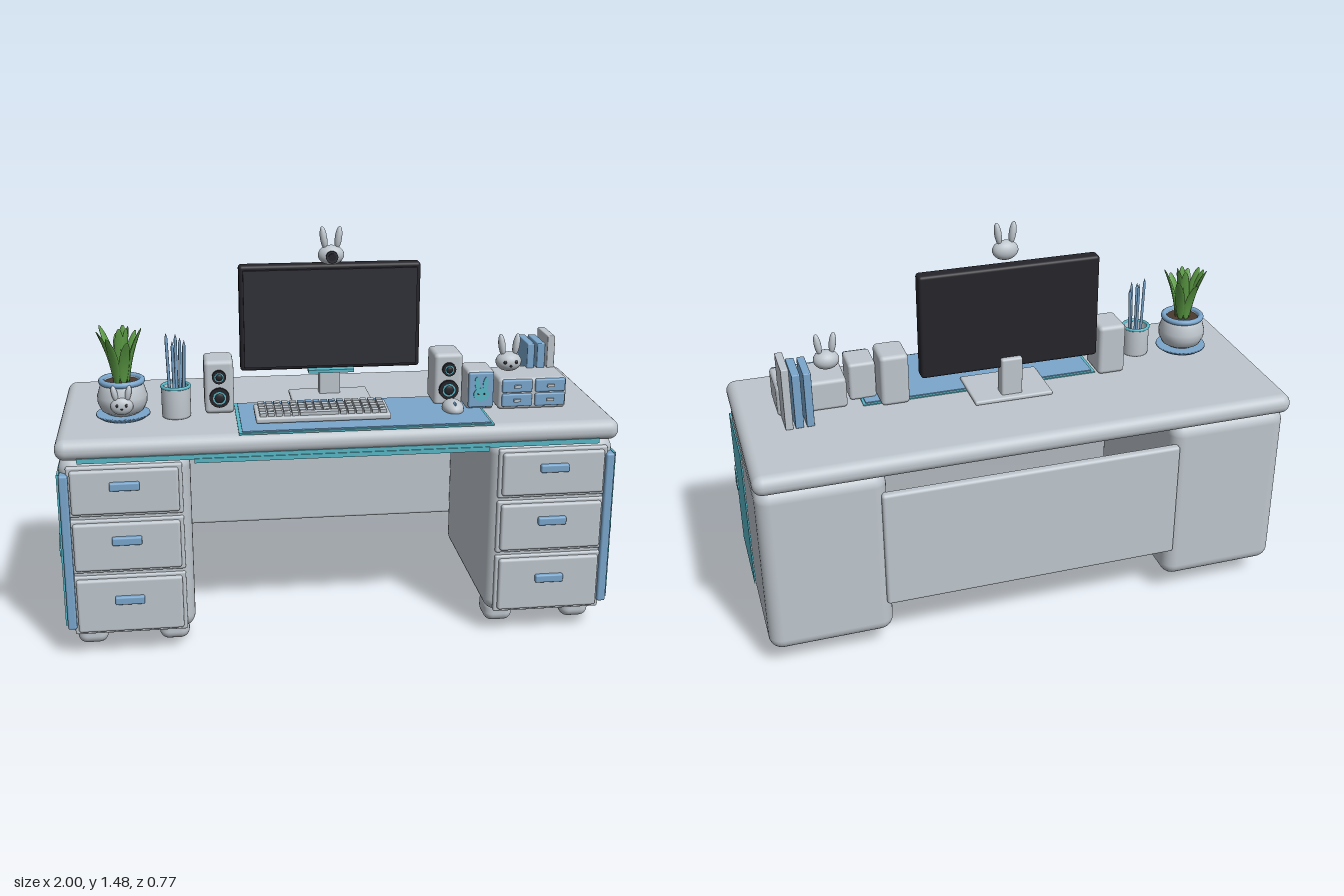
import * as THREE from 'three';
import { RoundedBoxGeometry } from 'three/addons/geometries/RoundedBoxGeometry.js';

const mat = (name, color, side = THREE.FrontSide) => {
  const m = new THREE.MeshStandardMaterial({ color, side });
  m.name = name;
  return m;
};

export function createModel() {
  const root = new THREE.Group();
  root.name = 'desk';
  const grey = mat('pale grey', 0xbec6cd), blue = mat('blue', 0x7aa6cc), teal = mat('teal', 0x5ab8c8);
  const dark = mat('charcoal', 0x24242a), screenMat = mat('screen', 0x2e2e37);
  const green = mat('leaf green', 0x5c9c45), soil = mat('soil', 0x4a3a30);

  const add = (name, geo, m, x, y, z, parent = root) => {
    const mesh = new THREE.Mesh(geo, m);
    mesh.name = name;
    mesh.position.set(x, y, z);
    parent.add(mesh);
    return mesh;
  };
  // Box given by its limits on each axis, with rounded edges when r > 0
  const box = (name, m, x0, x1, y0, y1, z0, z1, r = 0, parent = root) => {
    const s = [x1 - x0, y1 - y0, z1 - z0];
    const geo = r ? new RoundedBoxGeometry(...s, 4, r) : new THREE.BoxGeometry(...s);
    return add(name, geo, m, (x0 + x1) / 2, (y0 + y1) / 2, (z0 + z1) / 2, parent);
  };
  const ball = (name, m, x, y, z, a, b, c, parent = root) => {
    const mesh = add(name, new THREE.SphereGeometry(1, 24, 16), m, x, y, z, parent);
    mesh.scale.set(a, b, c);
    return mesh;
  };
  // Disc facing +z
  const disc = (name, m, x, y, z, r, depth, parent = root) => {
    const geo = new THREE.CylinderGeometry(r, r, depth, 28).rotateX(Math.PI / 2);
    return add(name, geo, m, x, y, z, parent);
  };
  const group = (name, x, y, z) => {
    const g = new THREE.Group();
    g.name = name;
    g.position.set(x, y, z);
    root.add(g);
    return g;
  };
  const lathe = (pts) => new THREE.LatheGeometry(pts.map(p => new THREE.Vector2(...p)), 36);

  // Rabbit head with upright ears; the origin is the head centre
  const rabbit = (name, x, y, z, depth, eyes) => {
    const g = group(name, x, y, z);
    ball('head', grey, 0, 0, 0, 0.048, 0.036, depth, g);
    for (const s of [-1, 1]) {
      ball('ear', grey, s * 0.027, 0.062, 0, 0.013, 0.042, 0.015, g).rotation.z = -s * 0.14;
      if (eyes) ball('eye', dark, s * 0.021, 0.004, depth * 0.88, 0.006, 0.007, 0.005, g);
    }
    if (eyes) ball('nose', dark, 0, -0.009, depth * 0.97, 0.005, 0.004, 0.004, g);
    return g;
  };
  // Flat rabbit badge facing +z
  const badge = (name, m, x, y, z, s) => {
    const g = group(name, x, y, z);
    disc('badgeHead', m, 0, 0, 0, 0.03, 0.008, g).scale.y = 0.85;
    for (const k of [-1, 1]) {
      const ear = disc('badgeEar', m, k * 0.016, 0.042, 0, 0.01, 0.008, g);
      ear.scale.y = 2.7;
      ear.rotation.z = -k * 0.12;
      disc('badgeEye', dark, k * 0.012, 0.002, 0.002, 0.0035, 0.008, g);
    }
    g.scale.set(s, s, 1);
    return g;
  };

  // Table top, back panel and trim under the front edge
  box('tableTop', grey, -0.995, 0.995, 0.755, 0.83, -0.387, 0.385, 0.036);
  box('backPanel', grey, -0.56, 0.56, 0.215, 0.68, -0.37, -0.335, 0.012);
  box('upperTrim', teal, -0.92, 0.92, 0.748, 0.766, 0.345, 0.378);
  box('lowerTrim', teal, -0.52, 0.52, 0.736, 0.752, 0.335, 0.382);

  // Drawer pedestals, mirrored
  for (const s of [-1, 1]) {
    const cx = s * 0.762;
    box('pedestal', grey, cx - 0.228, cx + 0.228, 0.083, 0.757, -0.358, 0.348, 0.05);
    const side = s * 0.991;
    box('sidePanel', teal, side - 0.004, side + 0.004, 0.13, 0.7, 0.025, 0.35);
    const strip = s * 0.971;
    box('cornerStrip', blue, strip - 0.016, strip + 0.016, 0.12, 0.703, 0.31, 0.37, 0.008);
    const emblem = badge('sideEmblem', teal, s * 0.996, 0.41, 0.31, 1);
    emblem.rotation.y = s * Math.PI / 2;
    const dx = s * 0.763;
    for (const [y0, y1, hy] of [[0.555, 0.717, 0.66], [0.342, 0.52, 0.457], [0.105, 0.307, 0.23]]) {
      box('drawerSurround', grey, dx - 0.2, dx + 0.2, y0 - 0.012, y1 + 0.012, 0.335, 0.356, 0.008);
      box('drawer', grey, dx - 0.187, dx + 0.187, y0, y1, 0.345, 0.37, 0.01);
      box('drawerHandle', blue, dx - 0.052, dx + 0.052, hy - 0.015, hy + 0.015, 0.365, 0.386, 0.006);
    }
    for (const fx of [0.612, 0.91]) box('foot', grey, s * fx - 0.055, s * fx + 0.055, 0, 0.09, 0.14, 0.26, 0.034);
  }

  // Desk mat with teal edging
  box('matEdge', teal, -0.364, 0.536, 0.828, 0.834, 0.016, 0.372);
  box('mat', blue, -0.352, 0.526, 0.83, 0.838, 0.026, 0.362);

  // Monitor
  box('standBase', grey, -0.15, 0.147, 0.83, 0.847, -0.108, 0.108, 0.007);
  box('standNeck', grey, -0.04, 0.04, 0.84, 0.99, -0.085, -0.03, 0.008);
  box('monitorBody', dark, -0.335, 0.335, 0.948, 1.342, -0.066, -0.012, 0.012);
  box('screen', screenMat, -0.32, 0.32, 0.963, 1.325, -0.02, -0.001);
  box('monitorLight', teal, -0.085, 0.085, 0.94, 0.952, -0.03, 0.018);

  // Rabbit webcam
  const cam = rabbit('webcam', 0, 1.379, 0.003, 0.032, false);
  disc('lensRing', screenMat, 0, -0.003, 0.03, 0.022, 0.014, cam);
  disc('lens', dark, 0, -0.003, 0.036, 0.014, 0.008, cam);

  // Keyboard
  const kb = group('keyboard', -0.06, 0.856, 0.218);
  kb.rotation.x = 0.05;
  box('keyboardBase', grey, -0.24, 0.24, -0.012, 0.01, -0.078, 0.078, 0.008, kb);
  for (let r = 0; r < 5; r++) {
    for (let c = 0; c < 16; c++) {
      if (r === 4 && c > 4 && c < 10) continue;
      const x = -0.2138 + c * 0.0285, z = -0.054 + r * 0.027;
      const m = r === 0 && c > 4 && c < 11 ? blue : grey;
      box('key', m, x - 0.0115, x + 0.0115, 0.008, 0.022, z - 0.0105, z + 0.0105, 0, kb);
    }
  }
  box('spaceBar', grey, -0.083, 0.054, 0.008, 0.022, 0.0435, 0.0645, 0, kb);

  // Mouse
  ball('mouse', grey, 0.422, 0.846, 0.2, 0.039, 0.03, 0.06);
  ball('mouseWheel', blue, 0.422, 0.868, 0.234, 0.005, 0.009, 0.012);

  // Speakers
  for (const s of [-1, 1]) {
    const x = s * 0.42;
    box('speaker', grey, x - 0.053, x + 0.053, 0.83, 1.027, -0.012, 0.125, 0.016);
    for (const [y, r] of [[0.97, 0.025], [0.893, 0.036]]) {
      disc('speakerRing', dark, x, y, 0.128, r, 0.02);
      disc('speakerCone', teal, x, y, 0.134, r * 0.66, 0.012);
      ball('speakerCap', dark, x, y, 0.139, r * 0.5, r * 0.5, 0.006);
    }
  }

  // Small box with a badge
  box('smallBox', grey, 0.475, 0.575, 0.832, 0.978, 0.065, 0.19, 0.012);
  box('smallBoxFront', blue, 0.48, 0.572, 0.842, 0.972, 0.18, 0.2, 0.006);
  badge('smallBoxBadge', teal, 0.526, 0.892, 0.2, 0.95);

  // Desk organiser with four little drawers
  box('organiser', grey, 0.59, 0.845, 0.83, 0.947, 0.025, 0.2, 0.014);
  for (const x of [0.659, 0.782]) {
    for (const y of [0.866, 0.919]) {
      box('miniDrawer', blue, x - 0.056, x + 0.056, y - 0.024, y + 0.024, 0.19, 0.208, 0.006);
      box('miniHandle', grey, x - 0.013, x + 0.013, y - 0.005, y + 0.005, 0.204, 0.215);
    }
  }
  rabbit('rabbitFigure', 0.645, 0.99, 0.115, 0.04, true);

  // Books behind the organiser
  box('book', blue, 0.73, 0.758, 0.83, 1.04, -0.078, 0.065, 0.004);
  box('book', blue, 0.768, 0.798, 0.83, 1.04, -0.078, 0.065, 0.004);
  box('tallBook', grey, 0.806, 0.834, 0.83, 1.067, -0.08, 0.066, 0.004);

  // Pencil cup
  const cup = group('pencilCup', -0.575, 0.83, 0.137);
  add('cup', lathe([[0, 0.002], [0.05, 0.002], [0.052, 0.01], [0.052, 0.116], [0.044, 0.116], [0.044, 0.03], [0, 0.03]]), grey, 0, 0, 0, cup);
  add('cupRim', new THREE.TorusGeometry(0.049, 0.006, 10, 36).rotateX(Math.PI / 2), teal, 0, 0.115, 0, cup);
  [[-0.024, 0, 0.31], [-0.006, 0.018, 0.285], [0.004, -0.02, 0.3], [0.017, 0.01, 0.295], [0.03, -0.008, 0.28]].forEach(([x, z, top]) => {
    const h = top - 0.05;
    const p = add('pencil', new THREE.CylinderGeometry(0.0055, 0.0055, h, 8), blue, x, 0.03 + h / 2, z, cup);
    p.rotation.set(z * 1.5, 0, -x * 1.2);
    add('pencilTip', new THREE.ConeGeometry(0.0055, 0.02, 8), blue, 0, h / 2 + 0.01, 0, p);
  });

  // Plant in a round pot
  const plant = group('plant', -0.765, 0.83, 0.122);
  add('saucer', lathe([[0, 0.002], [0.08, 0.002], [0.097, 0.014], [0.095, 0.02], [0, 0.016]]), blue, 0, 0, 0, plant);
  add('pot', lathe([[0, 0.016], [0.05, 0.016], [0.075, 0.032], [0.088, 0.06], [0.089, 0.085], [0.08, 0.115], [0.07, 0.138], [0.06, 0.138], [0.06, 0.12]]), grey, 0, 0, 0, plant);
  add('potRim', new THREE.TorusGeometry(0.072, 0.011, 12, 36).rotateX(Math.PI / 2), blue, 0, 0.138, 0, plant);
  add('soil', new THREE.CylinderGeometry(0.066, 0.066, 0.01, 28), soil, 0, 0.13, 0, plant);
  ball('potFace', grey, 0, 0.066, 0.08, 0.04, 0.032, 0.022, plant);
  for (const s of [-1, 1]) {
    ball('potFaceEar', grey, s * 0.024, 0.112, 0.08, 0.011, 0.03, 0.012, plant).rotation.z = -s * 0.2;
    ball('potFaceEye', dark, s * 0.016, 0.072, 0.098, 0.005, 0.006, 0.004, plant);
  }
  ball('potFaceNose', dark, 0, 0.06, 0.101, 0.004, 0.003, 0.003, plant);

  // Leaves: flattened spindles bending outward with height
  const leaf = (h, bend) => {
    const geo = new THREE.SphereGeometry(1, 12, 16);
    const p = geo.attributes.position;
    for (let i = 0; i < p.count; i++) {
      const t = (p.getY(i) + 1) / 2;
      p.setXYZ(i, p.getX(i) * 0.02, t * h, p.getZ(i) * 0.007 + bend * t * t);
    }
    geo.computeVertexNormals();
    return geo;
  };
  for (let i = 0; i < 12; i++) {
    const a = i * 2.4, inner = i % 3 === 0, d = inner ? 0.012 : 0.026;
    const l = add('leaf', leaf(inner ? 0.205 : 0.165 + (i % 4) * 0.013, inner ? 0.02 : 0.055), green,
      Math.sin(a) * d, 0.128, Math.cos(a) * d, plant);
    l.rotation.y = a;
  }
  return root;
}
